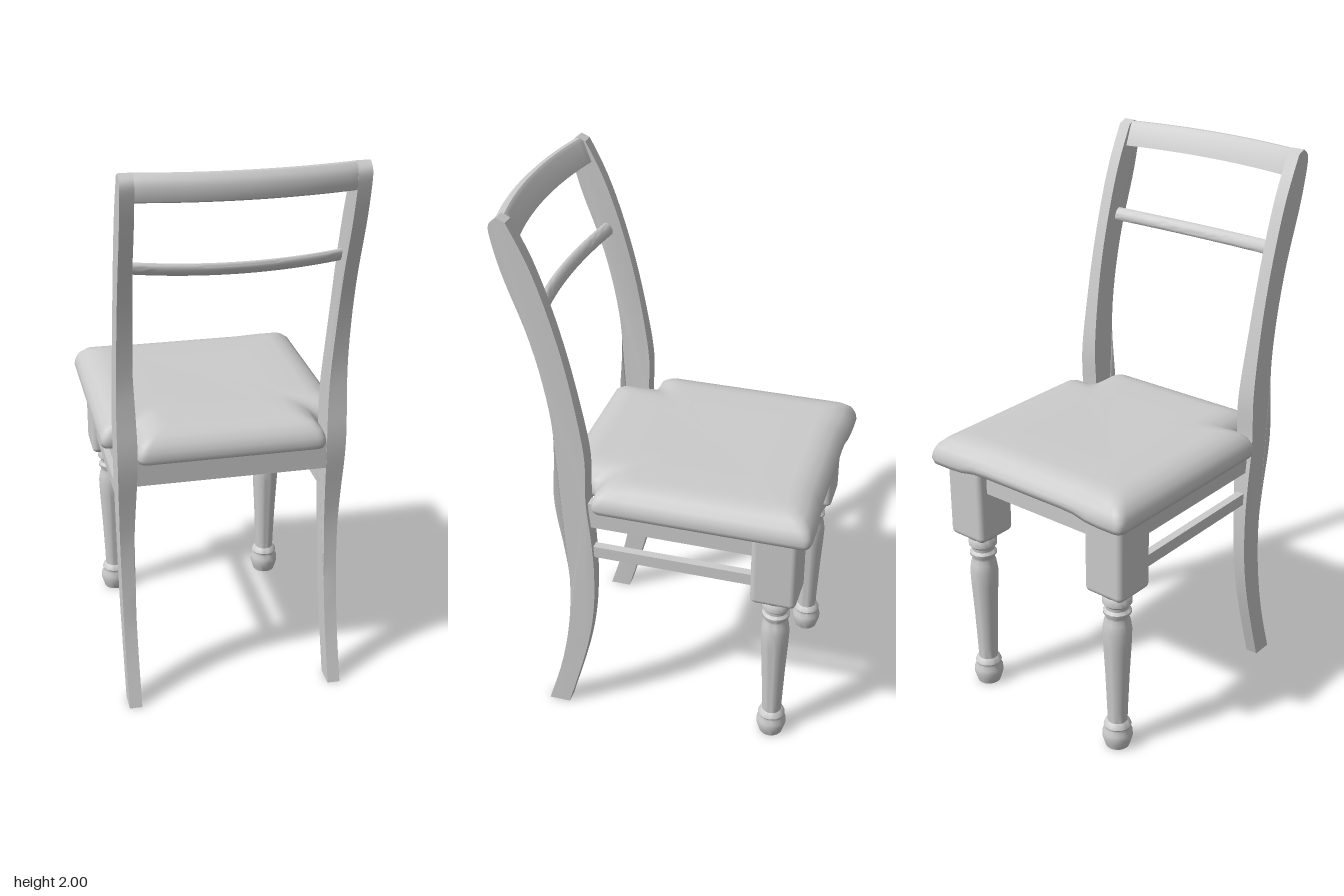
import * as THREE from 'three';
import { toCreasedNormals } from 'three/addons/utils/BufferGeometryUtils.js';
import { RoundedBoxGeometry } from 'three/addons/geometries/RoundedBoxGeometry.js';

const mat = new THREE.MeshStandardMaterial({ color: 0xcccccc });
const V = (x, y) => new THREE.Vector2(x, y);

function add(group, name, geo, x = 0, y = 0, z = 0) {
  const mesh = new THREE.Mesh(geo, mat);
  mesh.name = name;
  mesh.position.set(x, y, z);
  group.add(mesh);
  return mesh;
}

// Extrude a (z, y) outline along x, then bend its vertices with warp(v)
function extrudeX(shape, width, steps, warp) {
  const geo = new THREE.ExtrudeGeometry(shape, { depth: width, steps, bevelEnabled: false, curveSegments: 8 });
  geo.translate(0, 0, -width / 2).rotateY(-Math.PI / 2);
  const p = geo.attributes.position, v = new THREE.Vector3();
  for (let i = 0; i < p.count; i++) {
    warp(v.fromBufferAttribute(p, i));
    p.setXYZ(i, v.x, v.y, v.z);
  }
  return toCreasedNormals(geo, 0.6);
}

// Sabre-curved rear leg running up into the back post
function postGeometry(side) {
  const front = [[.35, 0], [.27, .28], [.235, .47], [.225, .65], [.23, .8], [.243, .97], [.24, 1.13],
    [.26, 1.29], [.30, 1.5], [.35, 1.69], [.405, 1.85], [.47, 1.985]];
  const back = [[.50, 1.998], [.528, 1.97], [.522, 1.91], [.49, 1.79], [.423, 1.6], [.378, 1.42], [.352, 1.25], [.352, 1.12],
    [.36, 1], [.355, .9], [.333, .75], [.32, .6], [.333, .4], [.37, .2], [.43, 0]];
  const curve = (pts, n) => new THREE.SplineCurve(pts.map(q => V(...q))).getPoints(n);
  const shape = new THREE.Shape([...curve(front, 44), ...curve(back, 50)]);
  return extrudeX(shape, 1, 1, v => {
    // thickest at seat height
    const bump = Math.exp(-(((v.y - 1) / 0.3) ** 2));
    const inner = 0.35 - 0.016 * bump, outer = 0.396 + 0.007 * bump;
    v.x = (side > 0 ? inner : -outer) + (outer - inner) * (v.x + 0.5);
  });
}

// Seat outline with rear notches, pulled in by inset and rounded at the corners
function seatOutline(inset, r = 0.035) {
  const c = [[.44, .22], [.44, -.555], [-.44, -.555], [-.44, .22], [-.335, .22], [-.335, .375], [.335, .375], [.335, .22]]
    .map(q => V(...q));
  const n = c.length, dir = c.map((p, i) => c[(i + 1) % n].clone().sub(p).normalize());
  const moved = c.map((p, i) => {
    const a = dir[(i + n - 1) % n], b = dir[i];
    return V(p.x + inset * (a.y + b.y), p.y - inset * (a.x + b.x));
  });
  const out = [];
  moved.forEach((p, i) => {
    const start = p.clone().addScaledVector(dir[(i + n - 1) % n], -r);
    const end = p.clone().addScaledVector(dir[i], r);
    out.push(...new THREE.QuadraticBezierCurve(start, p, end).getPoints(6));
    const next = moved[(i + 1) % n].clone().addScaledVector(dir[i], -r);
    for (let k = 1; k < 14; k++) out.push(end.clone().lerp(next, k / 14));
  });
  return out;
}

// Padded seat lofted from stacked outlines: [inset, height, scale about the middle]
function seatGeometry() {
  const rings = [[.03, .945, 0], [.03, .945, .5], [.03, .945, 1], [.006, .947, 1], [0, .965, 1], [.004, .988, 1],
    [.015, 1.012, 1], [.04, 1.035, 1], [.075, 1.047, 1], [.11, 1.052, 1], [.11, 1.052, .6], [.11, 1.05, .3], [.11, 1.05, 0]];
  const pos = [], idx = [], midZ = -0.1;
  let n = 0;
  rings.forEach(([inset, y, s], r) => {
    const pts = seatOutline(inset);
    n = pts.length;
    pts.forEach((p, i) => {
      const atFront = THREE.MathUtils.smoothstep(-p.y, 0.4, 0.5);
      const corner = THREE.MathUtils.smoothstep(Math.abs(p.x), 0.2, 0.32);
      const z = p.y - 0.009 * atFront * corner;
      const lift = r > 1 && r < 5 ? 0.012 * atFront * (1 - corner) : 0;
      pos.push(p.x * s, y + lift, midZ + (z - midZ) * s);
      if (r < rings.length - 1) {
        const a = r * n + i, b = r * n + (i + 1) % n;
        idx.push(a, b, b + n, a, b + n, a + n);
      }
    });
  });
  const geo = new THREE.BufferGeometry();
  geo.setAttribute('position', new THREE.Float32BufferAttribute(pos, 3));
  geo.setIndex(idx);
  geo.computeVertexNormals();
  return geo;
}

// Turned front leg: foot, taper and collars below the square block
function turnedLegGeometry() {
  const profile = [[0, 0], [.043, 0], [.048, .015], [.055, .04], [.054, .06], [.047, .075], [.046, .08], [.05, .088], [.045, .1],
    [.036, .108], [.037, .15], [.043, .3], [.05, .43], [.052, .49], [.047, .525], [.042, .54], [.042, .55], [.05, .56],
    [.05, .568], [.041, .578], [.042, .59], [.052, .6], [.053, .618], [.046, .63], [.06, .642], [.074, .656], [.074, .67], [0, .67]];
  return toCreasedNormals(new THREE.LatheGeometry(profile.map(q => V(...q)), 32), 0.7);
}

export function createModel() {
  const chair = new THREE.Group();
  chair.name = 'diningChair';

  add(chair, 'seat', seatGeometry());

  // Legs, side aprons and stretchers on both sides
  const turned = turnedLegGeometry();
  const block = new RoundedBoxGeometry(0.163, 0.3, 0.165, 4, 0.022);
  for (const side of [1, -1]) {
    const label = side > 0 ? 'left' : 'right';
    add(chair, label + 'BackPost', postGeometry(side));
    const leg = new THREE.Group();
    leg.name = label + 'FrontLeg';
    leg.position.set(side * 0.32, 0, -0.432);
    add(leg, 'legBlock', block, 0, 0.8, 0);
    add(leg, 'turnedLeg', turned);
    chair.add(leg);
    add(chair, label + 'Apron', new THREE.BoxGeometry(0.04, 0.1, 0.63), side * 0.365, 0.9, -0.06);
    add(chair, label + 'Stretcher', new THREE.BoxGeometry(0.03, 0.045, 0.62), side * 0.37, 0.743, -0.06);
  }
  add(chair, 'frontApron', new THREE.BoxGeometry(0.5, 0.105, 0.04), 0, 0.9025, -0.46);
  add(chair, 'backApron', new THREE.BoxGeometry(0.7, 0.1, 0.04), 0, 0.9, 0.31);

  // Bowed top rail between the posts
  const rail = new THREE.Shape([[.45, 1.91], [.478, 1.985], [.49, 1.995], [.505, 1.994], [.52, 1.98],
    [.527, 1.96], [.527, 1.93], [.522, 1.912], [.51, 1.906]].map(q => V(...q)));
  add(chair, 'topRail', extrudeX(rail, 0.7, 24, v => { v.z += 0.038 * (1 - (v.x / 0.35) ** 2); }));

  // Slim bowed slat below it
  const slat = new THREE.Shape();
  slat.absellipse(0.393, 1.661, 0.025, 0.014, 0, Math.PI * 2, false, 1.05);
  add(chair, 'backSlat', extrudeX(slat, 0.69, 24, v => {
    const bow = 1 - (v.x / 0.345) ** 2;
    v.z += 0.035 * bow;
    v.y -= 0.01 * bow;
  }));

  return chair;
}
